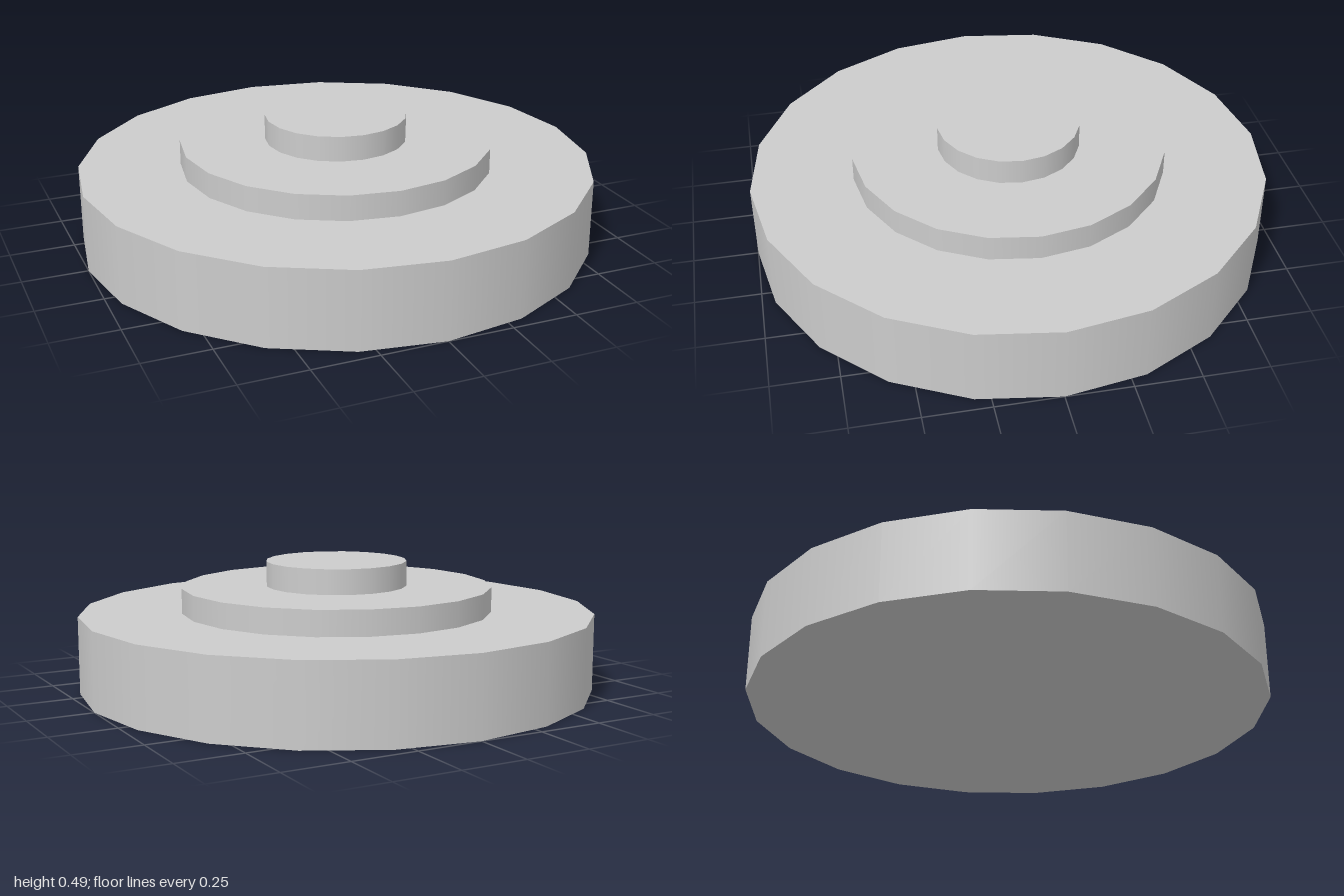
import * as THREE from 'three';

const SIDES = 20;

export function createModel() {
  const model = new THREE.Group();
  model.name = 'steppedDisc';
  const material = new THREE.MeshStandardMaterial({ color: 0xcccccc });

  // Stacked round tiers, from the bottom up
  const tiers = [
    { name: 'base', radius: 1, height: 0.3 },
    { name: 'middleStep', radius: 0.605, height: 0.097 },
    { name: 'topKnob', radius: 0.275, height: 0.097 },
  ];

  let y = 0;
  for (const { name, radius, height } of tiers) {
    const tier = new THREE.Mesh(new THREE.CylinderGeometry(radius, radius, height, SIDES), material);
    tier.name = name;
    tier.position.y = y + height / 2;
    model.add(tier);
    y += height;
  }

  return model;
}
